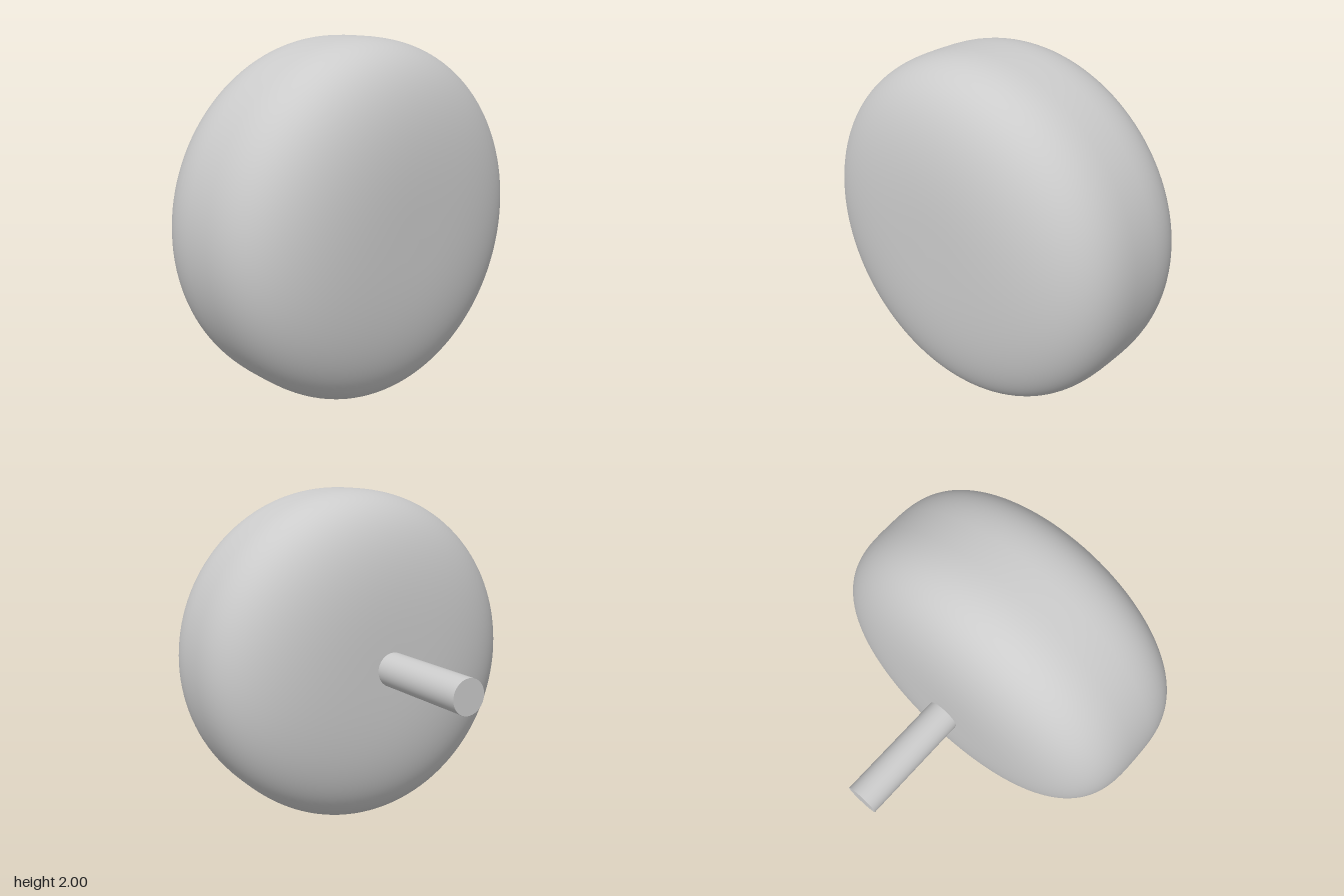
import * as THREE from 'three';

export function createModel() {
  const group = new THREE.Group();
  const material = new THREE.MeshStandardMaterial({ color: 0xcccccc });

  // Turned parts lie along z at the height of the wheel's centre
  function add(name, geometry, z) {
    geometry.rotateX(Math.PI / 2);
    const mesh = new THREE.Mesh(geometry, material);
    mesh.name = name;
    mesh.position.set(0, 1, z);
    group.add(mesh);
  }

  // Pillow-shaped wheel: a superellipse profile spun round its axle
  const radius = 1, halfDepth = 0.55, power = 2 / 3.15, steps = 64;
  const profile = [];
  for (let i = 0; i <= steps; i++) {
    const a = -Math.PI / 2 + (Math.PI * i) / steps;
    const c = Math.max(0, Math.cos(a)), s = Math.sin(a);
    const r = i === 0 || i === steps ? 0 : radius * Math.pow(c, power);
    profile.push(new THREE.Vector2(r, halfDepth * Math.sign(s) * Math.pow(Math.abs(s), power)));
  }
  add('wheel', new THREE.LatheGeometry(profile, 128), 0.34);

  // Round axle pin running from inside the wheel out to the back
  add('axle', new THREE.CylinderGeometry(0.1, 0.1, 0.79, 64), -0.495);

  return group;
}
